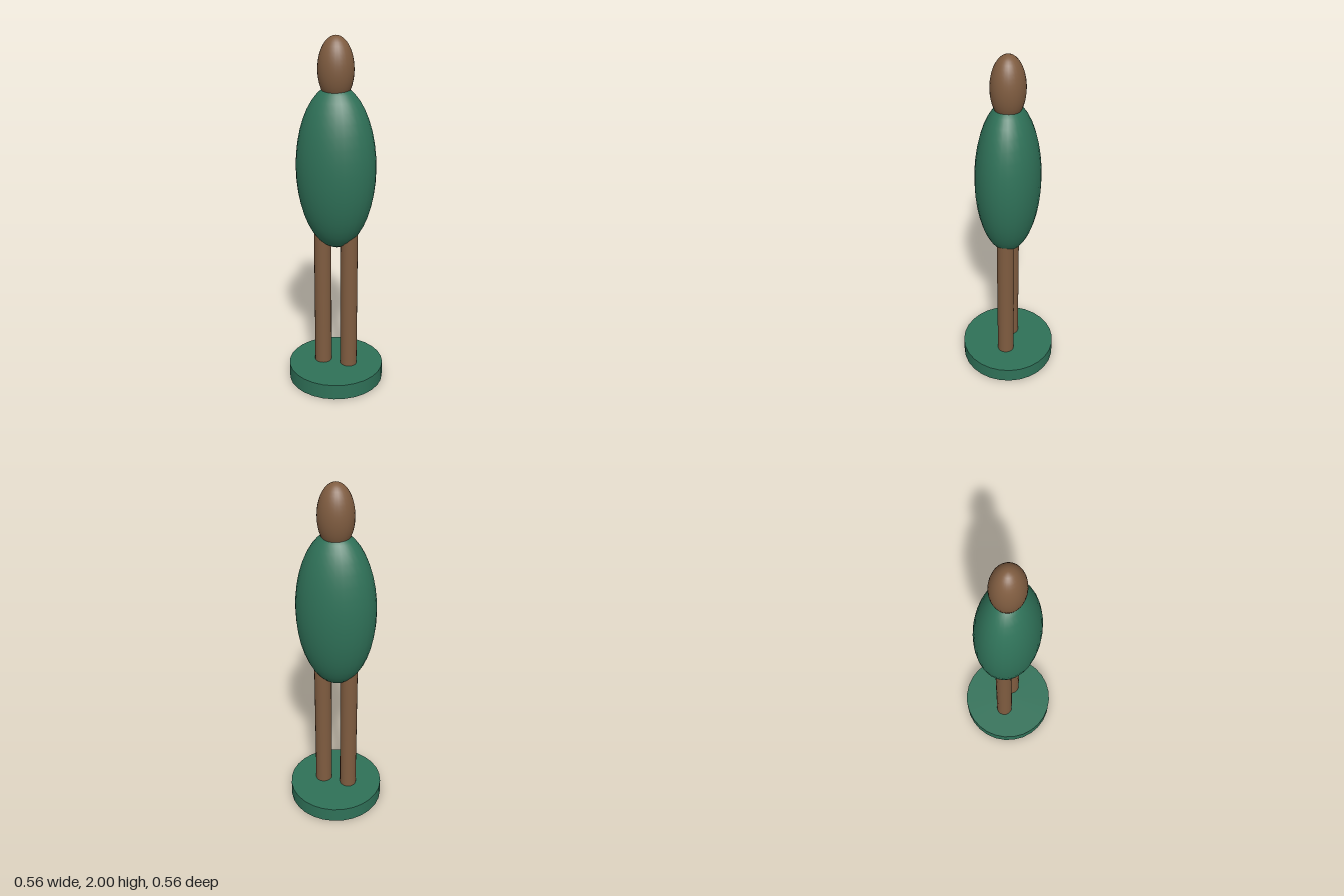
import * as THREE from 'three';

export function createModel() {
  const model = new THREE.Group();
  model.name = 'figure';
  const green = new THREE.MeshStandardMaterial({ color: 0x2f7158 });
  green.name = 'green';
  const brown = new THREE.MeshStandardMaterial({ color: 0x7f5c40 });
  brown.name = 'brown';

  function add(name, geometry, material, x, y) {
    const mesh = new THREE.Mesh(geometry, material);
    mesh.name = name;
    mesh.position.set(x, y, 0);
    model.add(mesh);
    return mesh;
  }
  const ellipsoid = (rx, ry, rz) => new THREE.SphereGeometry(1, 28, 20).scale(rx, ry, rz);

  // Round stand; rotated so a corner lies on each axis
  add('base', new THREE.CylinderGeometry(0.278, 0.278, 0.09, 28), green, 0, 0.045);

  // Straight legs running up into the body
  for (const [name, side] of [['leftLeg', 1], ['rightLeg', -1]]) {
    add(name, new THREE.CylinderGeometry(0.049, 0.049, 0.89, 20), brown, side * 0.079, 0.525);
  }

  // Egg-shaped body and head
  add('body', ellipsoid(0.224, 0.46, 0.178), green, 0, 1.29);
  add('head', ellipsoid(0.099, 0.175, 0.092), brown, 0, 1.825);

  return model;
}
